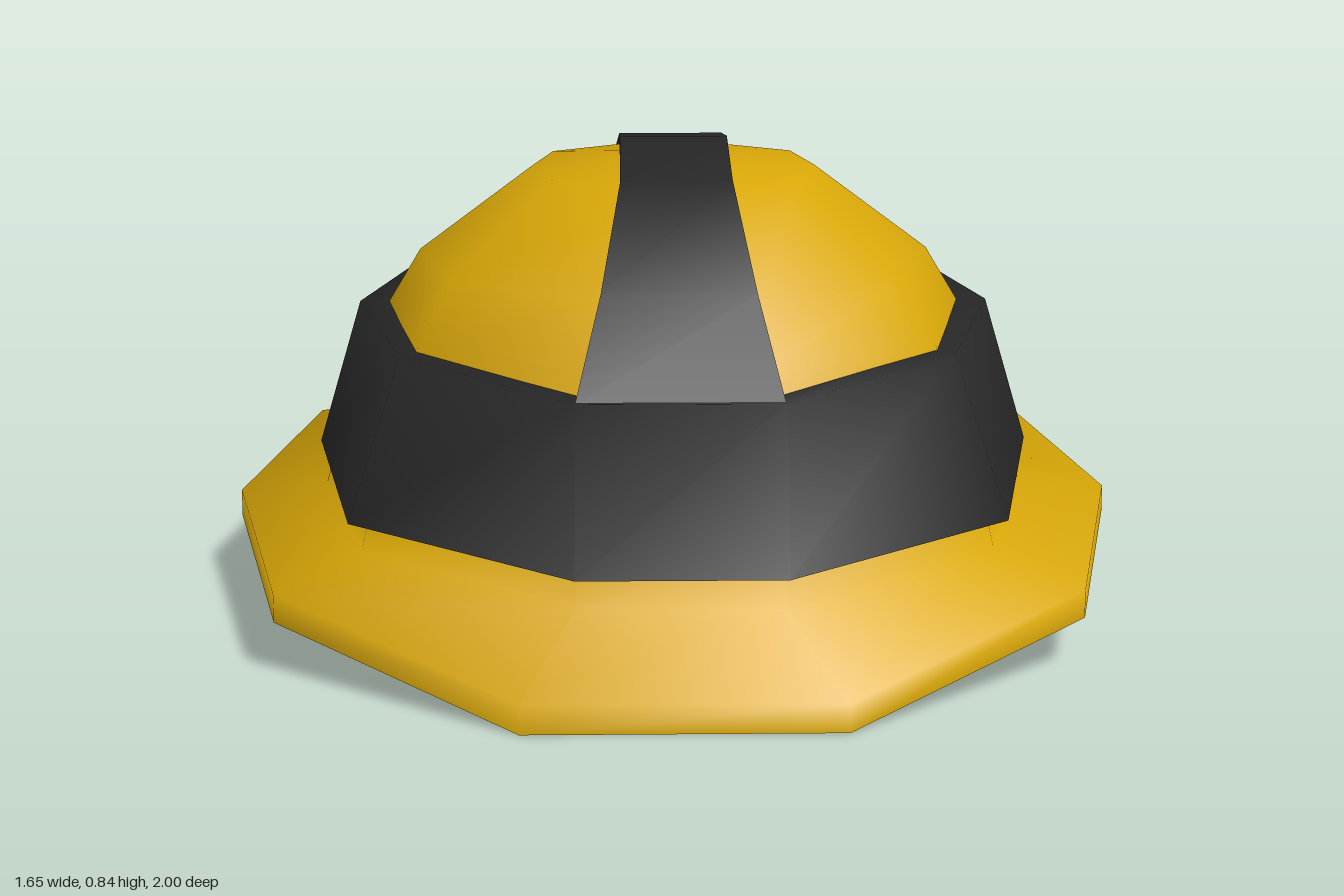
import * as THREE from 'three';
import { toCreasedNormals } from 'three/addons/utils/BufferGeometryUtils.js';

const material = (name, color) => new THREE.MeshStandardMaterial({ name, color });

// Mirror a right-hand half outline [x, z, y] (front to back) into a full ring
function ring(half, fn = (p) => p) {
  const pts = half.map(fn);
  return [...pts, ...pts.slice().reverse().map(([x, z, y]) => [-x, z, y])];
}

// Skin a list of equal-length rings; optional flat end caps
function loft(rings, crease, caps = false) {
  const n = rings[0].length;
  const pos = rings.flatMap((r) => r.flatMap(([x, z, y]) => [x, y, z]));
  const idx = [];
  for (let r = 0; r < rings.length - 1; r++) {
    for (let i = 0; i < n; i++) {
      const a = r * n + i, b = r * n + ((i + 1) % n);
      idx.push(a, b, b + n, a, b + n, a + n);
    }
  }
  if (caps) {
    const last = (rings.length - 1) * n;
    for (let i = 1; i < n - 1; i++) {
      idx.push(0, i + 1, i, last, last + i, last + i + 1);
    }
  }
  const g = new THREE.BufferGeometry();
  g.setAttribute('position', new THREE.Float32BufferAttribute(pos, 3));
  g.setIndex(idx);
  return toCreasedNormals(g, crease);
}

export function createModel() {
  const yellow = material('helmetYellow', 0xd7a607);
  const black = material('rubberBlack', 0x252525);
  const brown = material('liningBrown', 0xb86e09);
  const glass = material('lensGrey', 0xd6d1bb);

  const model = new THREE.Group();
  const add = (name, geometry, mat, parent = model) => {
    const mesh = new THREE.Mesh(geometry, mat);
    mesh.name = name;
    parent.add(mesh);
    return mesh;
  };

  // Shell: drooping brim flowing smoothly into the dome
  const brim = [
    [0.27, 1, 0], [0.7, 0.67, 0.09], [0.825, 0.05, 0.11],
    [0.73, -0.6, 0.11], [0.56, -0.83, 0.07], [0.22, -1, 0.03],
  ];
  const domeBase = [
    [0.18, 0.77, 0.14], [0.56, 0.5, 0.17], [0.66, 0.06, 0.18],
    [0.57, -0.38, 0.175], [0.385, -0.51, 0.165], [0.2, -0.64, 0.16],
  ];
  const domeLevels = [[0.26, 0.965], [0.52, 0.82], [0.63, 0.72], [0.787, 0.4], [0.815, 0]];
  add('shell', loft([
    ring(brim),
    ring(brim, ([x, z, y]) => [x, z, y + 0.05]),
    ring(domeBase),
    ...domeLevels.map(([y, s]) =>
      ring(domeBase, ([x, z]) => [x * s, 0.06 + (z - 0.06) * s, y])),
  ], 2), yellow);

  // Vaulted underside with a dark pad in the middle
  const under = (s) => ring(brim, ([x, z, y]) =>
    [x * s, 0.05 + (z - 0.05) * s, y * s + 0.3 * (1 - s)]);
  add('underside', loft([under(0), under(0.5), under(1)], 0.8), brown);
  const pad = new THREE.CircleGeometry(0.2, 6).rotateX(Math.PI / 2);
  add('undersidePad', pad.translate(0, 0.244, 0.05), black);

  // Band around the dome
  const bandBottom = [
    [0.18, 0.835, 0.21], [0.58, 0.545, 0.23], [0.67, 0.06, 0.26],
    [0.59, -0.41, 0.265], [0.22, -0.685, 0.27],
  ];
  const bandTop = [
    [0.18, 0.7, 0.48], [0.49, 0.46, 0.51], [0.59, 0.06, 0.53],
    [0.5, -0.36, 0.53], [0.19, -0.56, 0.53],
  ];
  const inward = (s) => ([x, z, y]) => [x * s, 0.06 + (z - 0.06) * s, y];
  add('band', loft([
    ring(bandBottom, inward(0.86)), ring(bandBottom),
    ring(bandTop), ring(bandTop, inward(0.88)),
  ], 1.4), black);

  // Strap over the crown: [z, y, half width], flaring towards the band
  const strap = [
    [0.69, 0.475, 0.18], [0.575, 0.645, 0.135], [0.35, 0.805, 0.1], [0.06, 0.842, 0.1],
    [-0.23, 0.805, 0.1], [-0.47, 0.645, 0.135], [-0.56, 0.525, 0.18],
  ];
  add('crownStrap', loft(strap.map(([z, y, w]) => {
    const zi = 0.06 + (z - 0.06) * 0.88, yi = y - 0.045;
    return [[w, zi, yi], [-w, zi, yi], [-w, z, y], [w, z, y]];
  }), 0.7, true), black);

  // Lamp on the back, tilted slightly upwards, with a flat lip and recessed lens
  const lamp = new THREE.Group();
  lamp.name = 'lamp';
  lamp.position.set(0, 0.445, -0.805);
  lamp.quaternion.setFromUnitVectors(
    new THREE.Vector3(0, 1, 0), new THREE.Vector3(0, 0.19, -0.98).normalize());
  model.add(lamp);
  const profile = [[0, -0.25], [0.1, -0.25], [0.25, 0], [0.2, -0.004], [0.18, -0.045]]
    .map(([r, y]) => new THREE.Vector2(r, y));
  const housing = new THREE.LatheGeometry(profile, 10, Math.PI / 2);
  add('lampHousing', toCreasedNormals(housing, 0.7), black, lamp);
  const disc = (r, y) => new THREE.CircleGeometry(r, 10).rotateX(-Math.PI / 2).translate(0, y, 0);
  add('lampLens', disc(0.181, -0.045), glass, lamp);
  add('lampBulb', disc(0.034, -0.04), yellow, lamp);

  return model;
}
